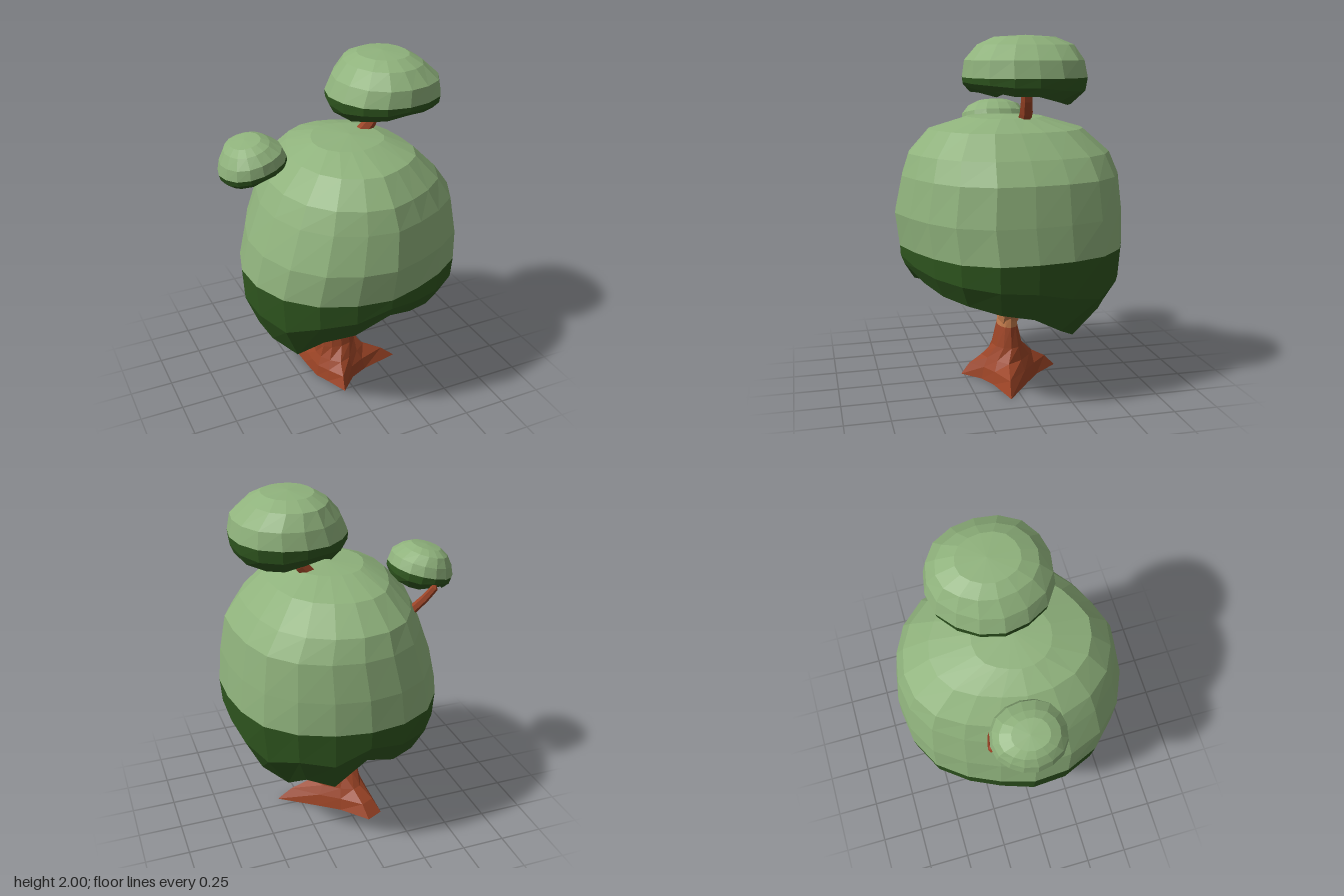
import * as THREE from 'three';

const mat = (name, color, side = THREE.FrontSide) => {
  const m = new THREE.MeshStandardMaterial({ color, flatShading: true, side });
  m.name = name;
  return m;
};

// Skin closed rings of points, listed from top to bottom
function loft(rings) {
  const pos = [];
  for (let i = 0; i < rings.length - 1; i++) {
    const n = rings[i].length;
    for (let j = 0; j < n; j++) {
      const k = (j + 1) % n;
      const a = rings[i][j], b = rings[i][k], c = rings[i + 1][k], d = rings[i + 1][j];
      if (a !== b) pos.push(...a, ...b, ...c);
      if (c !== d) pos.push(...a, ...c, ...d);
    }
  }
  const g = new THREE.BufferGeometry();
  g.setAttribute('position', new THREE.Float32BufferAttribute(pos, 3));
  g.computeVertexNormals();
  return g;
}

const point = (p, n) => Array(n).fill(p);

// Elliptical ring from [y, xMin, xMax, zMin, zMax]; scale and height may vary by index
function ring([y, x0, x1, z0, z1], n, scale = () => 1, height = () => y) {
  return Array.from({ length: n }, (_, j) => {
    const t = (j / n) * Math.PI * 2, s = scale(j);
    return [
      (x0 + x1) / 2 + ((x1 - x0) / 2) * s * Math.cos(t),
      height(j),
      (z0 + z1) / 2 + ((z1 - z0) / 2) * s * Math.sin(t),
    ];
  });
}

// Foliage: pale dome above, dark ragged skirt with a hollow underside below.
// rim lists [height, reach] and outline lists a radius factor, both by angle.
function foliage(name, top, rows, rim, outline, roof, mats) {
  const n = rim.length, edge = rows[rows.length - 1], split = edge[0];
  const dome = new THREE.Mesh(
    loft([point(top, n), ...rows.map((r) => ring(r, n, (j) => outline[j]))]), mats.leafLight);
  dome.name = name + 'Dome';
  const skirt = new THREE.Mesh(
    loft([
      ring(edge, n, (j) => outline[j]),
      ring(edge, n, (j) => outline[j] * (0.87 + 0.13 * rim[j][1]), (j) => (split + rim[j][0]) / 2),
      ring(edge, n, (j) => outline[j] * rim[j][1], (j) => rim[j][0]),
      ring(edge, n, (j) => rim[j][1] * 0.62, (j) => Math.max(roof - 0.03, rim[j][0])),
      point([(edge[1] + edge[2]) / 2, roof, (edge[3] + edge[4]) / 2], n),
    ]), mats.leafDark);
  skirt.name = name + 'Skirt';
  const g = new THREE.Group();
  g.name = name;
  g.add(dome, skirt);
  return g;
}

// Tapered limb along a smooth path
function limb(name, pts, r0, r1, material, sides = 7, segs = 5) {
  const curve = new THREE.CatmullRomCurve3(pts.map((p) => new THREE.Vector3(...p)));
  const g = new THREE.TubeGeometry(curve, segs, 1, sides, false);
  const p = g.attributes.position, v = new THREE.Vector3();
  for (let i = 0; i < p.count; i++) {
    const u = Math.floor(i / (sides + 1)) / segs, c = curve.getPointAt(u);
    v.fromBufferAttribute(p, i).sub(c).multiplyScalar(r0 + (r1 - r0) * u).add(c);
    p.setXYZ(i, v.x, v.y, v.z);
  }
  g.computeVertexNormals();
  const m = new THREE.Mesh(g, material);
  m.name = name;
  return m;
}

export function createModel() {
  const mats = {
    leafLight: mat('paleLeaf', 0x8fb27c),
    leafDark: mat('darkLeaf', 0x2f561f, THREE.DoubleSide),
    bark: mat('redBark', 0x9a4325, THREE.DoubleSide),
    barkLight: mat('lightBark', 0xc17a4b, THREE.DoubleSide),
  };
  const tree = new THREE.Group();
  tree.name = 'tree';

  // Lower trunk, open underneath, flaring into three roots given as [angle, radius]
  const root = [[10, 0.385], [38, 0.19], [75, 0.17], [103, 0.275], [130, 0.18], [160, 0.165],
    [188, 0.165], [212, 0.2], [237, 0.325], [256, 0.33], [285, 0.18], [335, 0.19]];
  const n = root.length;
  const rootRing = (y, blend, core) => root.map(([deg, r]) => {
    const t = THREE.MathUtils.degToRad(deg), q = core + (r - core) * blend;
    return [q * Math.cos(t), y, q * Math.sin(t)];
  });
  const waist = [0.32, -0.1, 0.1, -0.06, 0.06];
  const trunk = new THREE.Mesh(loft([
    ring(waist, n),
    ring([0.2, -0.12, 0.12, -0.09, 0.09], n),
    rootRing(0.125, 0.22, 0.12),
    rootRing(0.07, 0.66, 0.13),
    rootRing(0, 1, 0.13),
  ]), mats.bark);
  trunk.name = 'trunkAndRoots';

  // Upper trunk and its forked branches
  const fork = new THREE.Mesh(loft([
    point([0.01, 0.45, 0], n),
    ring([0.43, -0.1, 0.11, -0.045, 0.045], n),
    ring([0.38, -0.1, 0.1, -0.05, 0.05], n),
    ring(waist, n),
  ]), mats.barkLight);
  fork.name = 'trunkFork';
  tree.add(trunk, fork,
    limb('leftBranch', [[-0.03, 0.37, 0], [-0.11, 0.47, 0], [-0.2, 0.52, -0.03], [-0.34, 0.55, -0.08]], 0.06, 0.038, mats.barkLight),
    limb('frontBranch', [[-0.09, 0.47, 0], [-0.12, 0.54, 0.1], [-0.13, 0.62, 0.28], [-0.15, 0.76, 0.34]], 0.04, 0.026, mats.barkLight),
    limb('rightBranch', [[0.03, 0.36, 0], [0.1, 0.5, 0], [0.18, 0.63, 0.01], [0.25, 0.78, 0.02]], 0.062, 0.045, mats.barkLight));

  // Large main crown
  tree.add(foliage('mainCrown', [0.07, 1.57, 0.03], [
    [1.555, -0.15, 0.25, -0.19, 0.24],
    [1.49, -0.28, 0.4, -0.42, 0.46],
    [1.36, -0.4, 0.53, -0.57, 0.575],
    [1.24, -0.46, 0.615, -0.615, 0.615],
    [1.03, -0.54, 0.65, -0.645, 0.655],
    [0.84, -0.58, 0.67, -0.65, 0.63],
  ], [
    [0.52, 0.85], [0.56, 0.87], [0.6, 0.88], [0.62, 0.89], [0.66, 0.91],
    [0.73, 0.96], [0.6, 0.88], [0.54, 0.84], [0.4, 0.8], [0.45, 0.85],
    [0.46, 0.86], [0.54, 0.87], [0.55, 0.86], [0.56, 0.86], [0.57, 0.87],
    [0.63, 0.9], [0.43, 0.8], [0.47, 0.8], [0.36, 0.69], [0.43, 0.81],
  ], [1, 1.05, 1.04, 0.98, 0.96, 1, 1.01, 1.04, 1.05, 1.03,
    1, 0.96, 0.97, 1.01, 1.01, 1, 1, 1.02, 1.03, 1], 0.76, mats));

  // Upper crown on its twig
  const upper = () => foliage('upperCrown', [0.29, 2.0, -0.03], [
    [1.99, 0.15, 0.43, -0.19, 0.14],
    [1.95, 0.08, 0.5, -0.29, 0.23],
    [1.87, 0.01, 0.59, -0.34, 0.3],
    [1.78, -0.03, 0.61, -0.36, 0.31],
  ], [
    [1.69, 0.93], [1.69, 0.89], [1.71, 0.88], [1.72, 0.9], [1.73, 0.93], [1.7, 0.87], [1.69, 0.86], [1.66, 0.78],
    [1.69, 0.91], [1.7, 0.9], [1.66, 0.8], [1.7, 0.87], [1.68, 0.84], [1.64, 0.74], [1.64, 0.76], [1.66, 0.87],
  ], [1, 1.02, 1.03, 1, 1, 1.02, 1.03, 1, 1, 0.98, 0.97, 1, 1, 1.01, 1.03, 1.01], 1.755, mats);
  tree.add(upper(),
    limb('upperTwig', [[0.13, 1.48, -0.05], [0.24, 1.59, -0.05], [0.28, 1.7, -0.04], [0.29, 1.8, -0.03]], 0.045, 0.024, mats.bark, 6));

  // Small tilted side crown, a reduced copy of the upper one
  const side = upper();
  side.name = 'sideCrown';
  side.children.forEach((m) => {
    m.geometry.translate(-0.29, -1.82, 0.025);
    m.name = m.name.replace('upper', 'side');
  });
  side.scale.set(0.59, 0.63, 0.61);
  side.rotation.z = 0.23;
  side.position.set(-0.49, 1.5, -0.035);
  tree.add(side,
    limb('sideTwig', [[-0.32, 1.25, -0.18], [-0.42, 1.35, -0.215], [-0.485, 1.43, -0.225], [-0.5, 1.5, -0.1]], 0.028, 0.018, mats.bark, 6));

  return tree;
}
